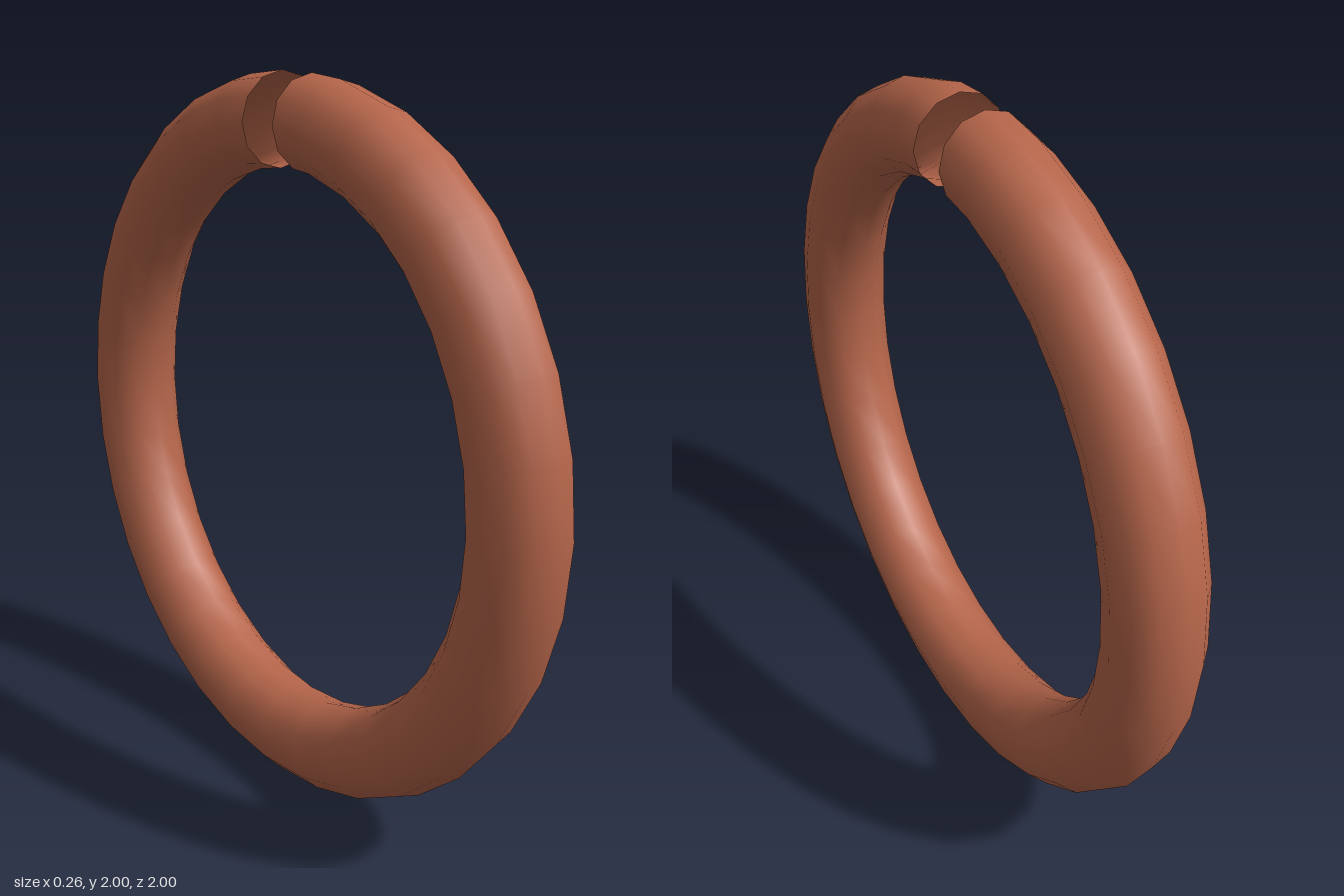
import * as THREE from 'three';

const RING = 0.875, TUBE = 0.125, SIDES = 12, STEPS = 32;

// Slides one end loop of the tube along its last segment to the cutting plane.
function cutEnd(pos, end, neighbour, zCut, slope) {
  const a = new THREE.Vector3(), b = new THREE.Vector3();
  for (let j = 0; j <= SIDES; j++) {
    const row = j * (STEPS + 1);
    a.fromBufferAttribute(pos, row + end);
    b.fromBufferAttribute(pos, row + neighbour);
    const z = zCut + slope * (RING - a.y);
    a.lerp(b, z / b.z);
    pos.setXYZ(row + end, a.x, a.y, a.z);
  }
}

export function createModel() {
  const group = new THREE.Group();
  group.name = 'openRing';

  // Upright torus in the YZ plane, its seam at the top
  const geometry = new THREE.TorusGeometry(RING, TUBE, SIDES, STEPS);
  geometry.applyMatrix4(new THREE.Matrix4().makeBasis(
    new THREE.Vector3(0, 1, 0), new THREE.Vector3(0, 0, 1), new THREE.Vector3(1, 0, 0)));

  // Narrow gap at the top, leaving both tube ends open
  const pos = geometry.attributes.position;
  cutEnd(pos, 0, 1, 0.082, 0.02);
  cutEnd(pos, STEPS, STEPS - 1, -0.05, -0.04);

  const ring = new THREE.Mesh(geometry, new THREE.MeshStandardMaterial({
    color: 0xb5654a, side: THREE.DoubleSide }));
  ring.name = 'ringTube';
  ring.position.y = 1;
  ring.rotation.z = 0.003; // very slight lean
  group.add(ring);
  return group;
}
